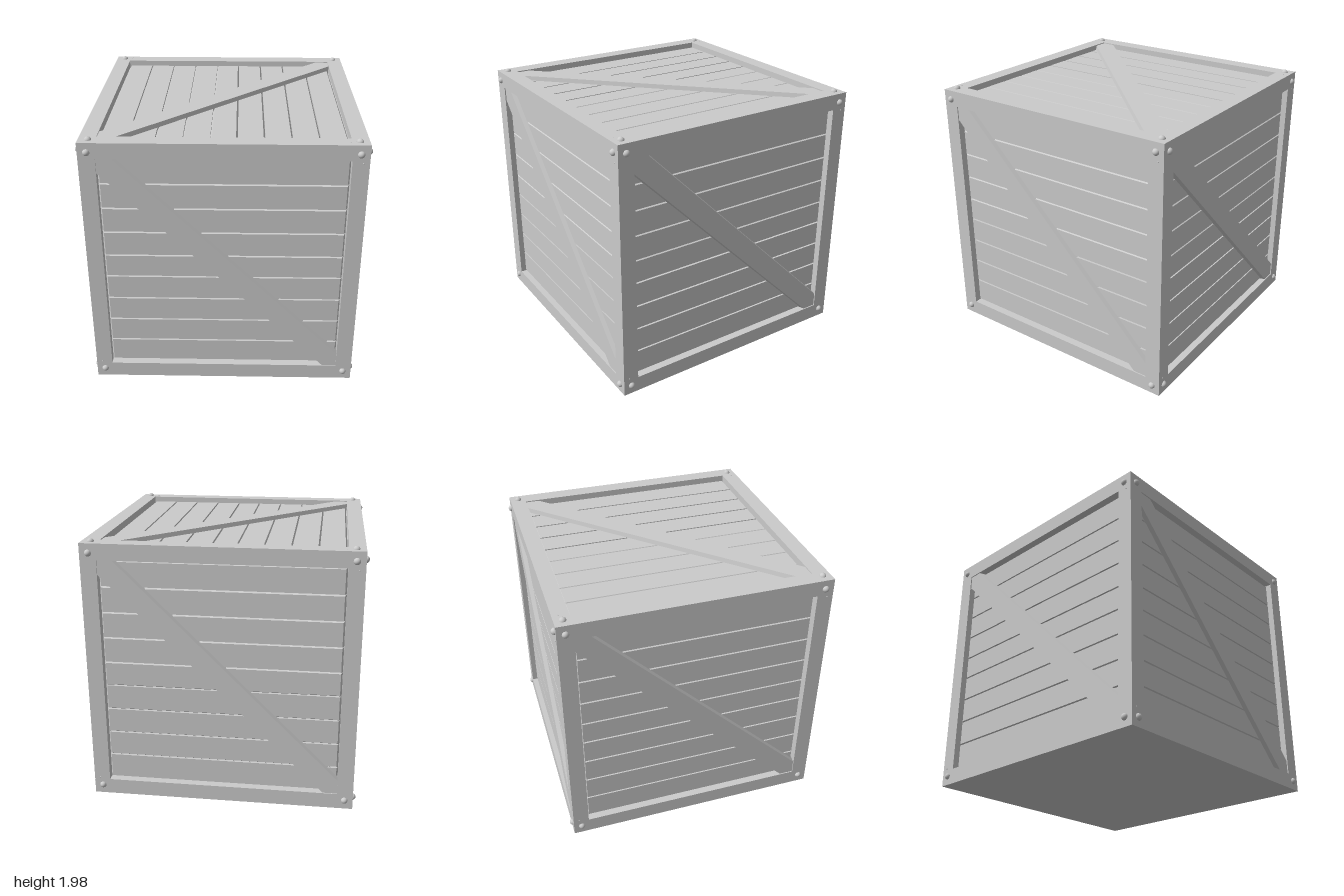
import * as THREE from 'three';

const HALF = 0.978;          // half the crate's width
const INNER = 0.86;          // half the opening inside the frame
const BEAM = HALF - INNER;   // thickness of the frame beams
const FLOOR = 0.918;         // depth at which the planks start
const PLANK = 0.938;         // outer surface of the planks
const BRACE = 0.97;          // outer surface of the diagonal brace

const material = new THREE.MeshStandardMaterial({ color: 0xcccccc });

function addMesh(parent, name, geometry, x = 0, y = 0, z = 0) {
  const mesh = new THREE.Mesh(geometry, material);
  mesh.name = name;
  mesh.position.set(x, y, z);
  parent.add(mesh);
  return mesh;
}

// Solid between two matching counter-clockwise outlines, open at the hidden back
function frustum(base, top, z0, z1) {
  const p = [];
  const n = base.length;
  for (let i = 0; i < n; i++) {
    const j = (i + 1) % n;
    const a = [...base[i], z0], b = [...base[j], z0];
    const c = [...top[j], z1], d = [...top[i], z1];
    p.push(...a, ...b, ...c, ...a, ...c, ...d);
    if (i > 0 && i < n - 1) p.push(...top[0], z1, ...d, ...c);
  }
  const geometry = new THREE.BufferGeometry();
  geometry.setAttribute('position', new THREE.Float32BufferAttribute(p, 3));
  geometry.computeVertexNormals();
  return geometry;
}

const rectangle = (w, low, high) => [[-w, low], [w, low], [w, high], [-w, high]];

// Diagonal strip from the upper left to the lower right corner of the opening
function strip(s) {
  const k = INNER;
  return [[-k, k], [-k, k - s], [k - s, -k], [k, -k], [k, s - k], [s - k, k]];
}

// One face of the crate, looking along +z
function createFace(name) {
  const face = new THREE.Group();
  face.name = name;

  // Nine planks, bevelled on the edges that point away from the middle
  const pitch = 0.19, bevel = 0.012;
  for (let i = -4; i <= 4; i++) {
    const low = (i - 0.5) * pitch, high = (i + 0.5) * pitch;
    const base = rectangle(INNER, low, high);
    const top = rectangle(INNER - bevel, low + (i <= 0 ? bevel : 0), high - (i >= 0 ? bevel : 0));
    addMesh(face, 'plank', frustum(base, top, FLOOR, PLANK));
  }

  // Brace with sloping sides
  addMesh(face, 'brace', frustum(strip(0.125), strip(0.107), FLOOR, BRACE));

  // Domed rivets in the corners
  const dome = new THREE.SphereGeometry(0.025, 16, 8, 0, Math.PI * 2, 0, Math.PI / 2);
  dome.rotateX(Math.PI / 2);
  for (const u of [-1, 1]) {
    for (const v of [-1, 1]) addMesh(face, 'rivet', dome, u * 0.916, v * 0.91, HALF - 0.003);
  }

  // Tiny nail heads beside two of the rivets
  const nail = new THREE.SphereGeometry(0.005, 8, 6);
  for (const s of [-1, 1]) addMesh(face, 'nail', nail, s * 0.935, s * 0.845, HALF);
  return face;
}

export function createModel() {
  const crate = new THREE.Group();
  crate.name = 'crate';
  const body = new THREE.Group();
  body.name = 'body';
  body.position.y = HALF;
  crate.add(body);

  // Inner box behind the planks
  addMesh(body, 'core', new THREE.BoxGeometry(FLOOR * 2, FLOOR * 2, FLOOR * 2));

  // Frame: four corner posts and the rails between them
  const mid = (HALF + INNER) / 2;
  const post = new THREE.BoxGeometry(BEAM, HALF * 2, BEAM);
  const railX = new THREE.BoxGeometry(INNER * 2, BEAM, BEAM);
  const railZ = new THREE.BoxGeometry(BEAM, BEAM, INNER * 2);
  for (const a of [-mid, mid]) {
    for (const b of [-mid, mid]) {
      addMesh(body, 'cornerPost', post, a, 0, b);
      addMesh(body, 'rail', railX, 0, a, b);
      addMesh(body, 'sideRail', railZ, a, b, 0);
    }
  }

  // Flat bottom, flush with the frame
  addMesh(body, 'bottomBoard', new THREE.BoxGeometry(INNER * 2, BEAM, INNER * 2), 0, -mid, 0);

  // Four sides turned around the crate
  ['frontFace', 'leftFace', 'backFace', 'rightFace'].forEach((name, i) => {
    const face = createFace(name);
    face.rotation.y = i * Math.PI / 2;
    body.add(face);
  });

  // Lid, with its planks running front to back
  const lid = createFace('topFace');
  lid.rotation.set(-Math.PI / 2, 0, Math.PI / 2);
  body.add(lid);

  return crate;
}
